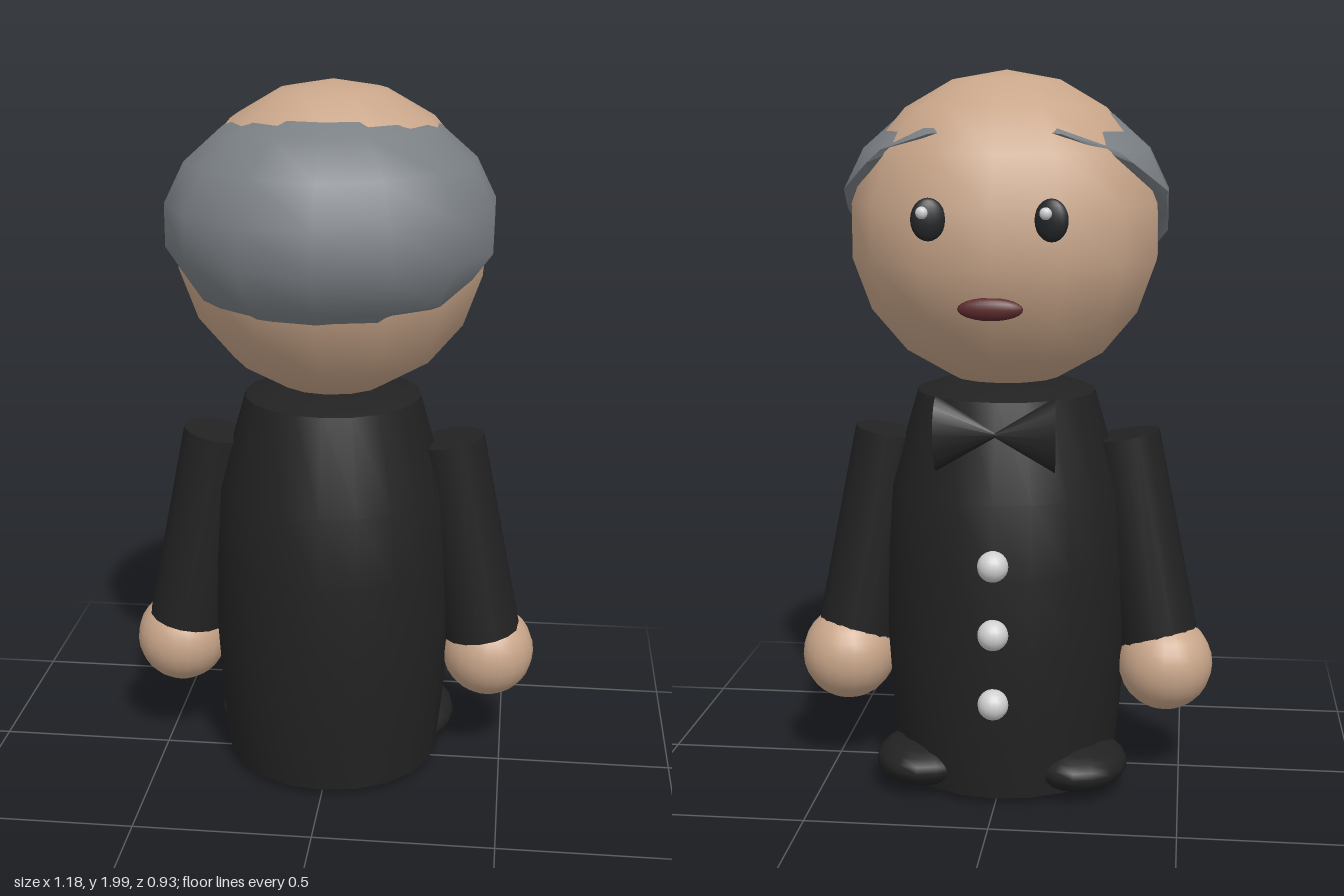
import * as THREE from 'three';
import { toCreasedNormals } from 'three/addons/utils/BufferGeometryUtils.js';

const mat = (name, color) => {
  const m = new THREE.MeshStandardMaterial({ color });
  m.name = name;
  return m;
};

export function createModel() {
  const skin = mat('skin', 0xc9a68a);
  const grey = mat('grey hair', 0x7b8085);
  const suit = mat('black suit', 0x222222);
  const eyeBlack = mat('eye black', 0x222427);
  const white = mat('white', 0xd0d0d0);
  const lip = mat('lip red', 0x5c2a2c);

  const model = new THREE.Group();
  model.name = 'figure';

  const add = (name, geometry, material, x = 0, y = 0, z = 0) => {
    const mesh = new THREE.Mesh(geometry, material);
    mesh.name = name;
    mesh.position.set(x, y, z);
    model.add(mesh);
    return mesh;
  };
  const ball = (rx, ry, rz, w = 16, h = 12) =>
    new THREE.SphereGeometry(1, w, h).rotateY(Math.PI / 2).scale(rx, ry, rz);

  // Head: coarse ball, the face looks towards -z
  add('head', ball(0.432, 0.432, 0.432, 14, 9), skin, 0, 1.568, -0.03);

  // Hair: flattened ball, everything below a slanted plane is pressed onto it
  const hair = ball(0.46, 0.34, 0.46, 14, 9).translate(0, 1.62, 0.005);
  const normal = new THREE.Vector3(0, 0.8, 0.6);
  const plane = new THREE.Plane().setFromNormalAndCoplanarPoint(normal, new THREE.Vector3(0, 1.582, 0.01));
  const p = hair.attributes.position;
  const v = new THREE.Vector3();
  for (let i = 0; i < p.count; i++) {
    v.fromBufferAttribute(p, i);
    const d = plane.distanceToPoint(v);
    if (d < 0) v.addScaledVector(plane.normal, -d);
    p.setXYZ(i, v.x, v.y, v.z);
  }
  add('hair', toCreasedNormals(hair, 0.9), grey);

  // Body: turned profile, closed at both ends
  const profile = [
    [0, 0.03], [0.308, 0.03], [0.328, 0.22], [0.343, 0.45], [0.338, 0.66],
    [0.325, 0.86], [0.25, 1.125], [0.16, 1.155], [0, 1.155],
  ].map(([r, y]) => new THREE.Vector2(r, y));
  add('body', toCreasedNormals(new THREE.LatheGeometry(profile, 20), 0.7), suit, 0, 0, -0.033);

  // Coat buttons
  for (const y of [0.315, 0.51, 0.7]) add('button', ball(0.042, 0.042, 0.042), white, 0, y, -0.378);

  // Mouth
  add('mouth', ball(0.085, 0.03, 0.022), lip, 0, 1.392, -0.424);

  for (const s of [1, -1]) {
    const side = s > 0 ? 'left' : 'right';

    // Sleeve between shoulder and wrist
    const shoulder = new THREE.Vector3(s * 0.332, 1.0, -0.033);
    const wrist = new THREE.Vector3(s * 0.437, 0.415, -0.037);
    const axis = shoulder.clone().sub(wrist);
    const arm = add(side + 'Arm', new THREE.CylinderGeometry(0.1, 0.112, axis.length(), 16), suit);
    arm.position.copy(shoulder).add(wrist).multiplyScalar(0.5);
    arm.quaternion.setFromUnitVectors(new THREE.Vector3(0, 1, 0), axis.normalize());

    add(side + 'Hand', ball(0.134, 0.134, 0.138, 20, 14), skin, s * 0.457, 0.345, -0.055);

    // Foot
    const foot = add(side + 'Foot', ball(0.14, 0.07, 0.185), suit, s * 0.216, 0.082, -0.165);
    foot.rotation.x = 0.06;

    // Bow tie half: flattened cone with its tip at the knot
    const bow = new THREE.ConeGeometry(0.102, 0.17, 16)
      .scale(1, 1, 0.45)
      .translate(0, -0.075, 0)
      .rotateZ(s * Math.PI / 2);
    add(side + 'Bow', bow, suit, 0, 1.045, -0.325).rotation.y = -s * 0.1;

    // Eye and its glint
    add(side + 'Eye', ball(0.045, 0.055, 0.02), eyeBlack, s * 0.157, 1.62, -0.435).rotation.y = s * 0.2;
    add(side + 'EyeGlint', ball(0.016, 0.016, 0.013), white, s * 0.157 + 0.013, 1.638, -0.455);
  }

  return model;
}
